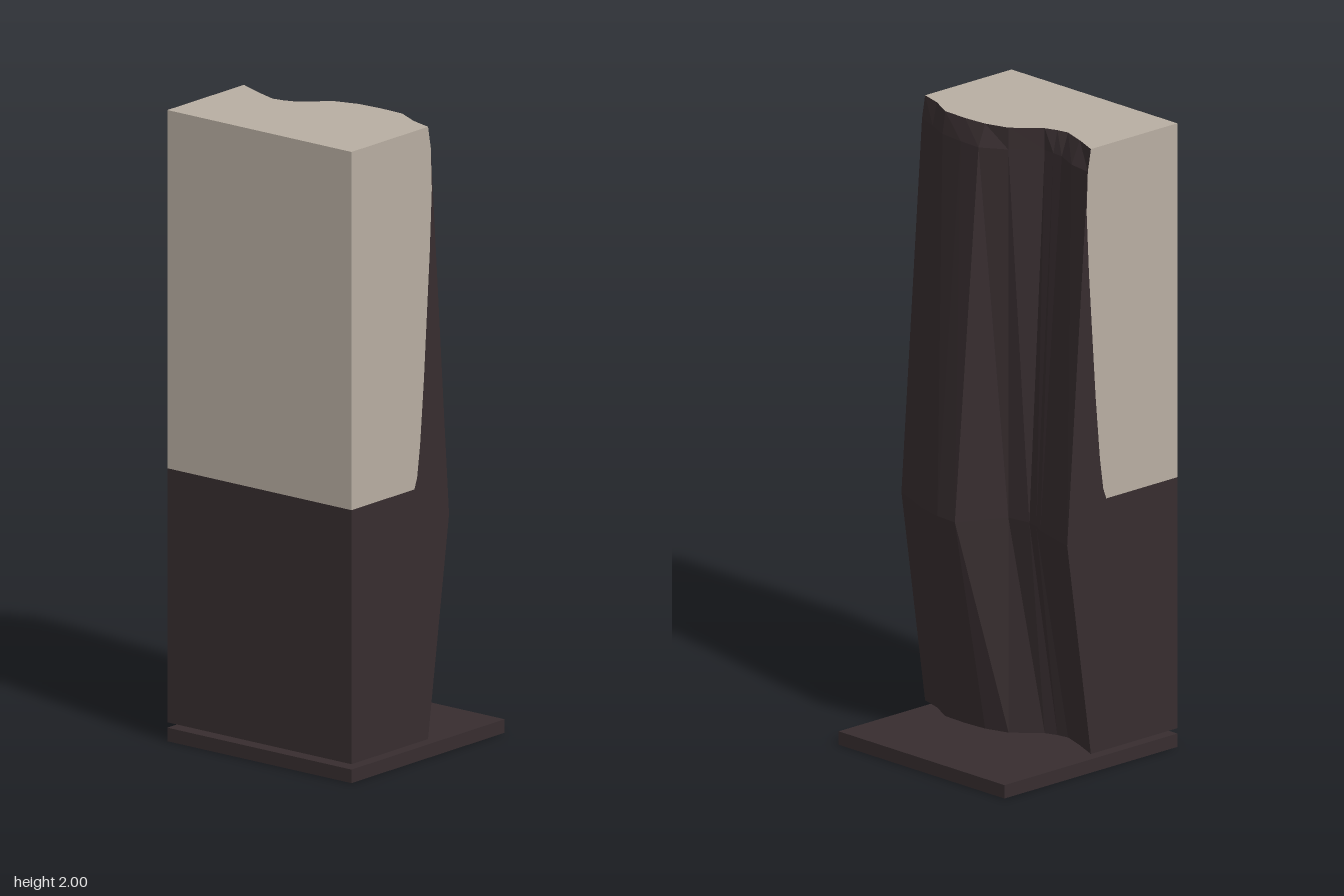
import * as THREE from 'three';

const stone = new THREE.MeshStandardMaterial({ color: 0xb8aea2 });
stone.name = 'pale stone';
const dark = new THREE.MeshStandardMaterial({ color: 0x372d2f });
dark.name = 'dark rock';

const H = 0.365, BOTTOM = 0.06, SPLIT = 0.865, BEND = 0.75, SHOULDER = 1.93, TOP = 2;

// Broken back: x, then z at the ends, at the shoulder and at the bend
const columns = [
  [-H, 0, -0.013, -0.1],
  [-0.28, 0.035, 0, -0.077],
  [-0.2, 0.062, 0.035, -0.055],
  [-0.16, 0.055, 0.038, -0.034],
  [-0.12, 0.04, 0.04, -0.025],
  [-0.04, -0.036, -0.037, -0.037],
  [0.038, -0.06, -0.088, -0.188],
  [0.12, -0.066, -0.085, -0.183],
  [0.21, -0.063, -0.075, -0.162],
  [0.29, -0.022, -0.04, -0.128],
  [H, 0, -0.013, -0.1],
];
const rows = [[BOTTOM, 1], [BEND, 3], [SHOULDER, 2], [TOP, 1]];

// Boundary between the two colours on each side, as z, y
const seam = [
  [0.065, SPLIT], [0.052, 0.9], [0.038, 1], [0.02, 1.2],
  [0.006, 1.4], [-0.008, 1.6], [-0.018, 1.8], [-0.013, SHOULDER],
];

function flat(points) {
  return new THREE.ShapeGeometry(new THREE.Shape(points.map(([a, b]) => new THREE.Vector2(a, b))));
}

function backGeometry() {
  const pos = [];
  const at = (i, j) => [columns[i][0], rows[j][0], columns[i][rows[j][1]]];
  for (let j = 0; j < rows.length - 1; j++) {
    for (let i = 0; i < columns.length - 1; i++) {
      const a = at(i, j), b = at(i + 1, j), c = at(i + 1, j + 1), d = at(i, j + 1);
      pos.push(...a, ...c, ...b, ...a, ...d, ...c);
    }
  }
  const g = new THREE.BufferGeometry();
  g.setAttribute('position', new THREE.Float32BufferAttribute(pos, 3));
  g.computeVertexNormals();
  return g;
}

export function createModel() {
  const model = new THREE.Group();
  model.name = 'splitStonePillar';
  const add = (name, geometry, material, x = 0, y = 0, z = 0) => {
    const mesh = new THREE.Mesh(geometry, material);
    mesh.name = name;
    mesh.position.set(x, y, z);
    model.add(mesh);
  };

  // Base plate, with a narrow gap above it
  add('basePlate', new THREE.BoxGeometry(2 * H, 0.043, 2 * H), dark, 0, 0.0215, 0);

  // Front in two colours
  add('frontLower', new THREE.PlaneGeometry(2 * H, SPLIT - BOTTOM), dark, 0, (SPLIT + BOTTOM) / 2, H);
  add('frontUpper', new THREE.PlaneGeometry(2 * H, TOP - SPLIT), stone, 0, (TOP + SPLIT) / 2, H);

  // Sides, divided along the curved seam
  const upper = [[H, SPLIT], ...seam, [0, TOP], [H, TOP]];
  const lower = [[H, BOTTOM], [0, BOTTOM], [-0.1, BEND], ...[...seam].reverse(), [H, SPLIT]];
  for (const s of [1, -1]) {
    const side = s > 0 ? 'left' : 'right';
    const face = (pts) => flat(pts.map(([z, y]) => [-s * z, y])).rotateY(s * Math.PI / 2);
    add(side + 'SideUpper', face(upper), stone, s * H);
    add(side + 'SideLower', face(lower), dark, s * H);
  }

  // Faceted rock at the back
  add('brokenBack', backGeometry(), dark);

  // Top and underside share the wavy outline
  const outline = [...columns.map(([x, z]) => [x, z]), [H, H], [-H, H]];
  add('topFace', flat(outline.map(([x, z]) => [x, -z])).rotateX(-Math.PI / 2), stone, 0, TOP);
  add('underside', flat(outline).rotateX(Math.PI / 2), dark, 0, BOTTOM);

  return model;
}
